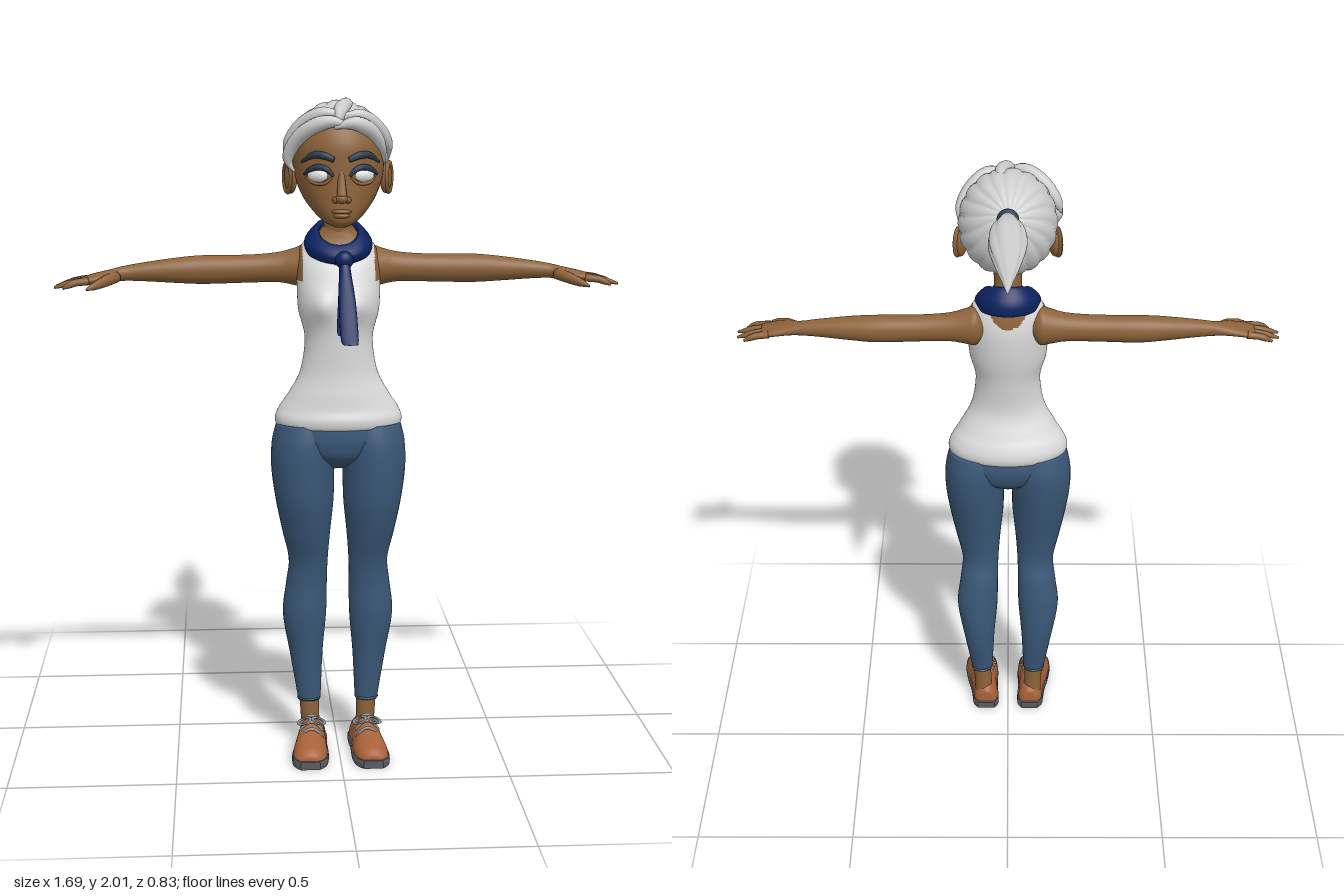
import * as THREE from 'three';
import { toCreasedNormals } from 'three/addons/utils/BufferGeometryUtils.js';

const V = (x, y, z) => new THREE.Vector3(x, y, z);
const { sin, cos, PI, abs, sqrt, max, min } = Math;

// Skins a list of rings (arrays of Vector3); closes the ends, or joins last to first when loop is set
function skin(rings, loop = false) {
  const n = rings[0].length, m = rings.length, pts = rings.flat(), idx = [];
  for (let i = 0; i < (loop ? m : m - 1); i++) for (let j = 0; j < n; j++) {
    const a = i * n + j, b = i * n + (j + 1) % n, k = (i + 1) % m;
    const c = k * n + j, d = k * n + (j + 1) % n;
    idx.push(a, b, c, b, d, c);
  }
  if (!loop) {
    for (const r of [0, m - 1]) {
      const mid = rings[r].reduce((s, p) => s.add(p), V(0, 0, 0)).divideScalar(n);
      const c = pts.push(mid) - 1;
      for (let j = 0; j < n; j++) {
        const a = r * n + j, b = r * n + (j + 1) % n;
        r ? idx.push(c, a, b) : idx.push(c, b, a);
      }
    }
  }
  const g = new THREE.BufferGeometry().setFromPoints(pts);
  g.setIndex(idx);
  g.computeVertexNormals();
  return g;
}

// Smooth value through the rows at fraction t of row index f
function rowAt(rows, f) {
  const i = min(Math.floor(f), rows.length - 2), t = f - i;
  const [a, b, c, d] = [rows[max(i - 1, 0)], rows[i], rows[i + 1], rows[min(i + 2, rows.length - 1)]];
  return b.map((_, k) => b[k] + 0.5 * t * (c[k] - a[k] + t * (2 * a[k] - 5 * b[k] + 4 * c[k] - d[k]
    + t * (3 * (b[k] - c[k]) + d[k] - a[k]))));
}

// Elliptical loft; rows are y:[y,x,z,rx,rz], x:[x,y,z,ry,rz], z:[z,x,y,rx,ry], in rising order
function loft(axis, rows, { seg = 32, sub = 5, ridge = null, shape = null } = {}) {
  const rings = [], steps = (rows.length - 1) * sub;
  for (let i = 0; i <= steps; i++) {
    const [t, a, b, ra, rb] = rowAt(rows, i / sub), ring = [];
    for (let j = 0; j < seg; j++) {
      const q = j / seg * 2 * PI, k = ridge ? ridge(q, t) : 1;
      const c = cos(q) * k, s = sin(q) * k;
      const p = axis === 'y' ? V(a + ra * s, t, b + rb * c)
        : axis === 'x' ? V(t, a + ra * c, b + rb * s) : V(a + ra * c, b + rb * s, t);
      if (shape) shape(p);
      ring.push(p);
    }
    rings.push(ring);
  }
  return skin(rings);
}

// Tapered round tube along a curve
function sweep(points, radii, seg = 10, steps = 16) {
  const curve = new THREE.CatmullRomCurve3(points.map(p => V(...p)));
  const { normals, binormals } = curve.computeFrenetFrames(steps);
  const rings = [];
  for (let i = 0; i <= steps; i++) {
    const c = curve.getPoint(i / steps), r = max(rowAt(radii.map(x => [x]), i / steps * (radii.length - 1))[0], 0.0008);
    rings.push(Array.from({ length: seg }, (_, j) => c.clone()
      .addScaledVector(normals[i], r * cos(j / seg * 2 * PI)).addScaledVector(binormals[i], r * sin(j / seg * 2 * PI))));
  }
  return skin(rings);
}

const ball = (x, y, z, rx, ry, rz, turn = 0) =>
  new THREE.SphereGeometry(1, 24, 16).scale(rx, ry, rz).rotateY(turn).translate(x, y, z);

function mirrored(g) {
  const m = g.clone().scale(-1, 1, 1);
  const ix = m.index.array;
  for (let i = 0; i < ix.length; i += 3) [ix[i], ix[i + 1]] = [ix[i + 1], ix[i]];
  m.computeVertexNormals();
  return m;
}

// Sorts faces into two material groups by a test on the face centre
function splitFaces(g, test) {
  const p = g.attributes.position, ix = g.index.array, sets = [[], []];
  for (let i = 0; i < ix.length; i += 3) {
    const c = V(0, 0, 0);
    for (let k = 0; k < 3; k++) c.add(V().fromBufferAttribute(p, ix[i + k]));
    sets[test(c.divideScalar(3)) ? 1 : 0].push(ix[i], ix[i + 1], ix[i + 2]);
  }
  g.setIndex(sets.flat());
  g.addGroup(0, sets[0].length, 0);
  g.addGroup(sets[0].length, sets[1].length, 1);
  return g;
}

export function createModel() {
  const root = new THREE.Group();
  const mat = (name, color) => Object.assign(new THREE.MeshStandardMaterial({ color }), { name });
  const M = {
    skin: mat('skin', 0x8c6239), hair: mat('silver hair', 0xcccccc), shirt: mat('white cotton', 0xdcdcdc),
    denim: mat('blue denim', 0x3a5878), scarf: mat('navy scarf', 0x0b2260), dark: mat('slate blue', 0x2c3e54),
    shoe: mat('tan leather', 0xa9623a), sole: mat('grey rubber', 0x5a5c60), lace: mat('grey lace', 0x8f9296),
    eye: mat('eye white', 0xe6e6e6),
  };
  const add = (name, g, m) => { const o = new THREE.Mesh(g, m); o.name = name; root.add(o); return o; };
  const pair = (name, g, m) => { add('left' + name, g, m); add('right' + name, mirrored(g), m); };

  // Torso: tank top with bare armholes and scooped neckline
  const torso = loft('y', [
    [1.025, 0, .22, .17, .1], [1.035, 0, .22, .188, .115], [1.06, 0, .22, .191, .12], [1.09, 0, .22, .178, .112],
    [1.13, 0, .228, .152, .1], [1.2, 0, .237, .116, .084], [1.3, 0, .235, .102, .09], [1.38, 0, .23, .12, .1],
    [1.44, 0, .222, .124, .1], [1.5, 0, .21, .124, .09], [1.55, 0, .198, .119, .07], [1.585, 0, .195, .1, .056],
    [1.61, 0, .195, .06, .05], [1.63, 0, .197, .045, .045],
  ], { seg: 96, sub: 8, shape: p => {
    if (p.z > .22) p.z += .022 * Math.exp(-(((abs(p.x) - .055) / .04) ** 2) - ((p.y - 1.405) / .045) ** 2);
  } });
  add('tankTop', splitFaces(torso, c => (abs(c.x) > .107 && c.y > 1.47 && c.y < 1.58)
    || (c.x / .065) ** 2 + ((c.y - 1.61) / .09) ** 2 < 1), [M.shirt, M.skin]);
  add('neck', loft('y', [[1.55, 0, .193, .055, .05], [1.6, 0, .197, .046, .046], [1.66, 0, .206, .043, .045],
    [1.74, 0, .22, .05, .05]]), M.skin);

  // Jeans
  add('jeansHips', loft('y', [[.905, 0, .22, .03, .05], [.94, 0, .22, .12, .095], [.98, 0, .218, .182, .111],
    [1.02, 0, .218, .193, .113], [1.07, 0, .22, .172, .106]], { seg: 40 }), M.denim);
  pair('JeansLeg', loft('y', [
    [.15, .09, .19, .035, .032], [.17, .09, .19, .037, .034], [.3, .098, .183, .051, .05], [.43, .103, .19, .067, .06],
    [.53, .097, .196, .063, .055], [.61, .092, .211, .06, .051], [.7, .098, .222, .073, .071], [.8, .103, .225, .088, .095],
    [.9, .108, .22, .096, .109], [.98, .104, .217, .098, .112], [1.04, .1, .217, .088, .1]]), M.denim);
  pair('JeansCuff', new THREE.TorusGeometry(.033, .004, 8, 28).rotateX(PI / 2).translate(.09, .155, .19), M.denim);
  pair('Ankle', loft('y', [[.05, .085, .188, .03, .034], [.1, .087, .19, .029, .031], [.17, .09, .19, .031, .03]]), M.skin);

  // Shoes
  const foot = [[.147, .076, .02, .025, .045], [.165, .077, .02, .039, .064], [.2, .079, .02, .042, .07],
    [.245, .084, .02, .044, .093], [.29, .089, .02, .05, .068], [.34, .093, .02, .053, .05],
    [.385, .095, .02, .046, .036], [.408, .096, .02, .026, .018]];
  pair('ShoeUpper', loft('z', foot, { shape: p => { p.y = max(p.y, .018); } }), M.shoe);
  pair('ShoeSole', toIndexed(loft('z', foot.map(([z, x, , rx]) => [.275 + (z - .275) * 1.05, x, .012, rx + .004, .05]),
    { shape: p => { p.y = min(max(p.y, 0), .025); } })), M.sole);
  for (const [z, y] of [[.25, .112], [.273, .1], [.297, .086]]) {
    pair('ShoeLace', sweep([[.052, y - .028, z], [.07, y - .004, z + .004], [.087, y + .003, z + .005],
      [.104, y - .004, z + .004], [.122, y - .028, z]], [.005, .005, .005], 8), M.lace);
  }
  for (const s of [-1, 1]) {
    pair('ShoeBow', new THREE.TorusGeometry(.015, .004, 8, 20).scale(1.3, .7, 1).rotateX(-1)
      .rotateZ(-s * .35).translate(.086 + s * .022, .104, .273), M.lace);
  }

  // Arms and hands
  pair('Arm', loft('x', [
    [.075, 1.51, .18, .04, .04], [.1, 1.508, .178, .063, .054], [.13, 1.506, .176, .056, .05], [.18, 1.504, .174, .045, .042],
    [.27, 1.5, .174, .042, .039], [.4, 1.498, .173, .043, .04], [.48, 1.497, .178, .038, .037], [.58, 1.494, .185, .028, .028],
    [.64, 1.49, .19, .022, .024], [.68, 1.484, .203, .019, .035], [.73, 1.476, .21, .016, .042], [.765, 1.471, .211, .01, .038]]), M.skin);
  const fingers = [[.178, .174, .818], [.2, .197, .84], [.222, .231, .842], [.243, .26, .815]];
  for (const [z0, z1, x] of fingers) {
    pair('Finger', sweep([[.74, 1.474, z0], [.785, 1.468, (z0 + z1) / 2], [x, 1.454, z1]], [.012, .011, .01, .004]), M.skin);
  }
  pair('Thumb', sweep([[.66, 1.483, .212], [.69, 1.474, .25], [.72, 1.463, .28], [.742, 1.455, .3]], [.018, .017, .012, .004]), M.skin);

  // Head and face
  add('head', loft('y', [
    [1.636, 0, .318, .016, .025], [1.65, 0, .305, .046, .06], [1.68, 0, .28, .078, .09], [1.72, 0, .25, .107, .118],
    [1.77, 0, .235, .127, .13], [1.82, 0, .23, .134, .135], [1.88, 0, .225, .133, .136], [1.94, 0, .22, .105, .11],
    [1.975, 0, .215, .05, .05]], { seg: 48 }), M.skin);
  add('noseBridge', sweep([[0, 1.8, .355], [0, 1.76, .368], [0, 1.725, .381]], [.009, .012, .015]), M.skin);
  add('noseTip', ball(0, 1.722, .381, .018, .014, .016), M.skin);
  pair('Nostril', ball(.017, 1.718, .371, .011, .01, .013), M.skin);
  add('upperLip', ball(0, 1.684, .366, .029, .007, .015), M.skin);
  add('lowerLip', ball(0, 1.672, .364, .025, .008, .015), M.skin);
  const faceZ = x => .234 + .133 * sqrt(1 - (x / .135) ** 2);
  const faceLine = (pts, lift) => pts.map(([x, y]) => [x, y, faceZ(x) + lift]);
  pair('Eye', ball(.063, 1.787, .336, .036, .023, .022, .4), M.eye);
  pair('UpperLid', sweep(faceLine([[.024, 1.786], [.042, 1.805], [.065, 1.811], [.088, 1.804], [.106, 1.79]], .004),
    [.004, .008, .009, .008, .004]), M.dark);
  pair('LowerLid', sweep(faceLine([[.028, 1.782], [.045, 1.767], [.065, 1.763], [.085, 1.768], [.1, 1.782]], .001),
    [.003, .005, .005, .005, .003]), M.skin);
  pair('Eyebrow', sweep(faceLine([[.022, 1.832], [.05, 1.844], [.08, 1.845], [.112, 1.825]], .001),
    [.008, .011, .01, .004]), M.dark);
  pair('Ear', ball(.141, 1.772, .215, .017, .046, .031, -.35), M.skin);
  pair('EarRim', new THREE.TorusGeometry(.028, .007, 8, 24).scale(1, 1.45, 1).rotateY(PI / 2 - .35).translate(.15, 1.774, .213), M.skin);

  // Hair cap: strands radiate from the ponytail tie to the hairline
  const line = [126, 122, 116, 104, 97, 92, 88].map(a => [a * PI / 180]);
  const rings = [];
  for (let i = 1; i <= 30; i++) {
    const t = i / 30, ring = [];
    for (let j = 0; j < 144; j++) {
      const f = j / 144 * 2 * PI, a = t * rowAt(line, min(f, 2 * PI - f) / PI * 6)[0];
      const strand = sqrt(abs(sin(f * 9 + 1.1 * sin(a * 2))));
      const r = (.955 + .05 * strand * sin(min(a, PI / 2))) * (t > .86 ? 1 - .11 * ((t - .86) / .14) ** 2 : 1);
      const up = sin(a) * cos(f);
      ring.push(V(-sin(a) * sin(f) * .15 * r, 1.835 + (cos(a) * .5 + up * .866) * .165 * r,
        .215 + (-cos(a) * .866 + up * .5) * .155 * r));
    }
    rings.push(ring);
  }
  add('hairCap', skin(rings), M.hair);

  // Loose locks framing the forehead
  const locks = [
    [[.03, 1.925, .345], [-.03, 1.94, .345], [-.09, 1.92, .325], [-.135, 1.875, .295], [-.152, 1.825, .28], [-.132, 1.795, .285]],
    [[.02, 1.95, .325], [-.05, 1.962, .315], [-.11, 1.93, .285], [-.148, 1.88, .265], [-.162, 1.845, .265]],
    [[-.02, 1.925, .35], [.04, 1.935, .345], [.085, 1.915, .325], [.118, 1.87, .295], [.133, 1.82, .27]],
    [[0, 1.955, .325], [.06, 1.955, .31], [.11, 1.92, .28], [.142, 1.87, .25], [.147, 1.83, .23]],
    [[-.01, 1.93, .345], [.0, 1.97, .31], [.02, 1.987, .25], [.02, 1.98, .18]],
  ];
  for (const l of locks) add('hairLock', sweep(l, [.007, .02, .022, .017, .003], 12, 24), M.hair);

  // Ponytail and its tie
  add('ponytail', loft('z', [
    [-.415, 0, 1.925, .002, .002], [-.34, 0, 1.924, .016, .013], [-.24, 0, 1.922, .036, .024], [-.12, 0, 1.92, .055, .035],
    [-.03, 0, 1.918, .052, .044], [.03, 0, 1.917, .034, .034], [.075, 0, 1.915, .019, .02]],
  { seg: 60, sub: 8, ridge: (q, z) => .92 + .1 * sqrt(abs(sin(q * 4 + z * 5))) }), M.hair);
  add('hairTie', new THREE.TorusGeometry(.021, .012, 12, 28).translate(0, 1.916, .068), M.dark);

  // Neck scarf: folded collar, knot and two hanging tails
  const collar = [];
  for (let i = 0; i < 64; i++) {
    const f = i / 64 * 2 * PI, w = (1 - cos(f)) / 2, ring = [];
    for (let j = 0; j < 20; j++) {
      const q = j / 20 * 2 * PI, k = (.017 + .003 * cos(3 * q)) * cos(q) - (.018 - .008 * w) * sin(q);
      ring.push(V(sin(f) * (.08 + k), 1.61 - .058 * w ** 1.5 + (.042 - .014 * w) * sin(q), .21 - cos(f) * (.078 + k)));
    }
    collar.push(ring);
  }
  add('scarfCollar', skin(collar, true), M.scarf);
  add('scarfKnot', ball(.012, 1.538, .31, .027, .027, .022), M.scarf);
  add('scarfTail', loft('y', [[1.3, .026, .408, .016, .003], [1.315, .022, .4, .026, .006], [1.42, .017, .362, .025, .008],
    [1.5, .013, .33, .018, .011], [1.55, .012, .308, .014, .012]]), M.scarf);
  add('scarfUnderTail', loft('y', [[1.325, -.002, .386, .008, .003], [1.345, .004, .377, .018, .006],
    [1.44, .012, .342, .02, .008], [1.54, .012, .305, .014, .01]]), M.scarf);
  return root;
}

// Sharp-edged normals, kept with an index so the part can be mirrored
function toIndexed(g) {
  const c = toCreasedNormals(g, .7);
  c.setIndex(Array.from({ length: c.attributes.position.count }, (_, i) => i));
  return c;
}
